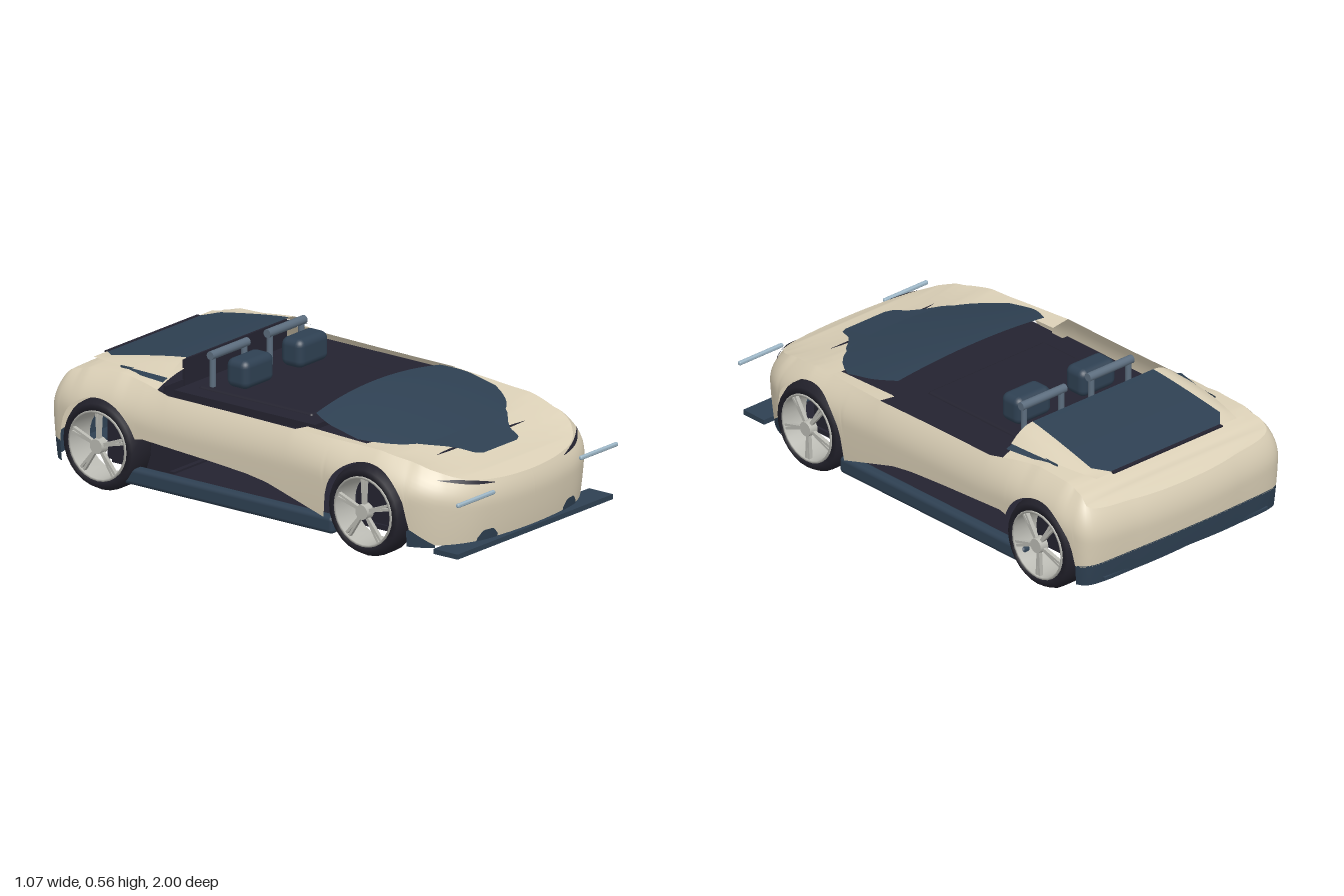
import * as THREE from 'three';
import { RoundedBoxGeometry } from 'three/addons/geometries/RoundedBoxGeometry.js';

const colour = (name, hex, side = THREE.FrontSide) => {
  const m = new THREE.MeshStandardMaterial({ color: hex, side });
  m.name = name;
  return m;
};
const paint = colour('cream paint', 0xdacfb6, THREE.DoubleSide);
const navy = colour('navy trim', 0x2e4052, THREE.DoubleSide);
const dark = colour('dark interior', 0x242330, THREE.DoubleSide);
const tyreMat = colour('tyre rubber', 0x22212b);
const rimMat = colour('rim grey', 0xb9b9b2);
const barMat = colour('roll bar steel', 0x5c6d7e);
const lampMat = colour('lamp strip', 0x9db6c6);

// Linear lookup in a list of [z, value], z descending
function table(list, z) {
  if (z >= list[0][0]) return list[0][1];
  for (let i = 1; i < list.length; i++) {
    const [z0, a] = list[i - 1], [z1, b] = list[i];
    if (z >= z1) return a + (b - a) * (z - z0) / (z1 - z0);
  }
  return list[list.length - 1][1];
}

const SHOULDER = [[.985, .3], [.94, .325], [.88, .355], [.8, .38], [.6, .412], [.4, .418], [.2, .425], [-.4, .43],
  [-.52, .45], [-.65, .464], [-.8, .458], [-.9, .435], [-.96, .4], [-1, .37]];
const CROWN = [[.985, .3], [.93, .33], [.81, .352], [.65, .385], [.4, .41], [.2, .42], [-.45, .495],
  [-.85, .458], [-.93, .43], [-.97, .4], [-1, .37]];
const TOP_INSET = [[.985, .02], [.9, .05], [.75, .085], [.5, .075], [.2, .045], [-.4, .045], [-.6, .08], [-.85, .08], [-1, .03]];
const SKIRT = [[.86, .08], [.77, .14], [.7, .1], [.4, .11], [.3, .14], [.1, .2], [0, .215], [-.2, .23], [-.5, .25],
  [-.7, .2], [-.88, .155], [-.97, .165], [-1, .18]];
const AXLES = [.57, -.71];
const shoulder = z => table(SHOULDER, z);
const skirt = z => table(SKIRT, z);

// Lower edge of the painted side, with round wheel arches
function lowerEdge(z) {
  let y = skirt(z);
  for (const a of AXLES) {
    const d = .188 ** 2 - (z - a) ** 2;
    if (d > 0) y = Math.max(y, .18 + Math.sqrt(d));
  }
  return y;
}

// Plan outline of the body as one closed loop from the nose
const half = [[.2, .972], [.33, .942], [.43, .88], [.49, .8], [.525, .68], [.532, .5], [.528, .2], [.525, -.1],
  [.528, -.4], [.532, -.7], [.528, -.87], [.49, -.952], [.25, -.99]];
const N = 480;
const loop = new THREE.CatmullRomCurve3([[0, .985], ...half, [0, -1], ...half.map(([x, z]) => [-x, z]).reverse()]
  .map(([x, z]) => new THREE.Vector3(x, 0, z)), true).getSpacedPoints(N).slice(0, N);

// Point on the body side at outline index i and height y
function sidePoint(i, y, out = 0) {
  const p = loop[i], a = loop[(i + N - 1) % N], b = loop[(i + 1) % N];
  const dx = b.x - a.x, dz = b.z - a.z, l = Math.hypot(dx, dz);
  const t = (y - .07) / (shoulder(p.z) - .07);
  const inset = .02 * (1 - t) ** 2 + table(TOP_INSET, p.z) * Math.max(0, (t - .6) / .4) ** 2 - out;
  return [p.x + dz / l * inset, y, p.z - dx / l * inset];
}

// Surface through rows of points
function patch(rows) {
  const n = rows[0].length, idx = [];
  for (let r = 0; r < rows.length - 1; r++) for (let c = 0; c < n - 1; c++) {
    const a = r * n + c, b = a + n;
    idx.push(a, b, a + 1, b, b + 1, a + 1);
  }
  const g = new THREE.BufferGeometry();
  g.setAttribute('position', new THREE.Float32BufferAttribute(rows.flat(2), 3));
  g.setIndex(idx);
  g.computeVertexNormals();
  return g;
}
const span = (n, f) => Array.from({ length: n + 1 }, (_, i) => f(i / n));

export function createModel() {
  const car = new THREE.Group();
  car.name = 'car';
  const add = (name, geo, mat, x = 0, y = 0, z = 0, parent = car) => {
    const m = new THREE.Mesh(geo, mat);
    m.name = name;
    m.position.set(x, y, z);
    parent.add(m);
    return m;
  };
  const box = (name, mat, w, h, d, x, y, z, r = 0) =>
    add(name, r ? new RoundedBoxGeometry(w, h, d, 3, r) : new THREE.BoxGeometry(w, h, d), mat, x, y, z);

  // Band around the body wherever keep(p) holds
  const band = (name, mat, keep, lo, hi, out = 0) => {
    let rows = [];
    const flush = () => { if (rows.length > 1) add(name, patch(rows), mat); rows = []; };
    for (let i = 0; i <= N; i++) {
      const p = loop[i % N];
      if (!keep(p)) { flush(); continue; }
      rows.push(span(14, t => sidePoint(i % N, lo(p) + (hi(p) - lo(p)) * t, out)));
    }
    flush();
  };
  band('bodySide', paint, () => true, p => lowerEdge(p.z), p => shoulder(p.z));
  band('frontCornerTrim', navy, p => p.z > .755 && p.z < .86, () => .07, p => skirt(p.z));
  band('rearDiffuser', navy, p => p.z < -.9, p => .08 + .02 * (1 - Math.abs(p.x) / .5), p => skirt(p.z) + .004);
  box('rearDiffuserReturn', navy, .84, .01, .08, 0, .1, -.93);
  const intake = p => Math.abs(Math.abs(p.x) - .25);
  band('frontIntake', navy, p => p.z > .8 && intake(p) < .06, () => .075,
    p => .08 + Math.min(.04, 1.1 * (.062 - intake(p))), .004);
  const slit = p => (Math.abs(p.x) - .2) / .25;
  const slitEdge = s => p => .295 + .04 * slit(p) + s * .007 * Math.sin(Math.PI * slit(p));
  band('headlightSlit', dark, p => p.z > .8 && slit(p) > 0 && slit(p) < 1, slitEdge(-1), slitEdge(1), .005);

  // Bonnet and tail skins close the top between the shoulders
  const skin = (name, keep) => {
    const rows = [];
    for (let i = 0; i <= N / 2; i++) {
      const e = sidePoint(i, shoulder(loop[i].z));
      const c = table(CROWN, loop[i].z);
      if (keep(e[2])) rows.push(span(24, t => {
        const k = 2 * t - 1;
        return [Math.abs(e[0]) * k, c + (e[1] - c) * k ** 4, e[2]];
      }));
    }
    add(name, patch(rows), paint);
  };
  skin('bonnet', z => z > .5);
  skin('tailDeck', z => z < -.46);

  // Fender tops beside the windscreen
  for (const s of [-1, 1]) {
    const rows = [];
    for (let i = 0; i <= N / 2; i++) {
      const e = sidePoint(i, shoulder(loop[i].z));
      if (e[2] > .2 && e[2] < .52) rows.push(span(3, t => [s * (.405 + (e[0] - .405) * t), e[1] - .01 * (1 - t), e[2]]));
    }
    add('fenderTop', patch(rows), paint);
  }

  // Windscreen slab and the dark bonnet panel ahead of it
  add('windscreen', patch(span(28, u => {
    const k = 2 * u - 1, zr = .21 + .015 * k * k, zf = .66 - .2 * k ** 4;
    return span(12, t => {
      const z = zr + (zf - zr) * t, x = k * (.375 + .042 * Math.sin(Math.PI / 2 * Math.min(1, t * 1.8)));
      return [x, .495 - .095 * ((z - .21) / .45) ** 1.2 - .03 * k * k, z];
    });
  })), navy);
  const panelWidth = [[.815, .1], [.8, .13], [.74, .155], [.7, .19], [.65, .25], [.6, .29]];
  add('bonnetPanel', patch(span(16, t => {
    const z = .6 + .215 * t, c = table(CROWN, z), w = table(panelWidth, z);
    return span(12, u => {
      const x = (2 * u - 1) * w;
      return [x, c + .006 + (shoulder(z) - c) * (x / .42) ** 4, z];
    });
  })), navy);

  // Rear cover with buttresses either side
  const coverY = t => .53 - .068 * t ** 1.2;
  const coverX = t => .31 + .025 * t - .06 * Math.max(0, (t - .85) / .15);
  add('rearCover', patch(span(20, t => span(8, u => [(2 * u - 1) * coverX(t), coverY(t), -.45 - .41 * t]))), navy);
  for (const s of [-1, 1]) {
    add('buttress', patch(span(20, t => span(4, u => [
      s * (coverX(t) + (.42 - .06 * t * t - coverX(t)) * u), coverY(t) - .055 * (1 - t) * u * u, -.45 - .41 * t]))), paint);
    add('quarterPanel', patch(span(6, t => span(1, u => [
      s * (.405 + .045 * u * (1 - t)), .48 - .015 * u - .005 * t, -.455 - .24 * t]))), navy);
  }
  box('rearBulkhead', dark, .62, .13, .01, 0, .455, -.465);
  box('rearBulkheadLower', dark, .84, .09, .01, 0, .395, -.47);
  box('coverGap', dark, .56, .006, .016, 0, .461, -.862);

  // Cockpit, with a lower channel along one door
  box('cockpitPanel', dark, .845, .03, .68, .0475, .4, -.12);
  box('doorChannel', dark, .12, .03, .68, -.43, .33, -.12);
  box('cowl', dark, .82, .02, .32, 0, .385, .38);
  box('cockpitInset', dark, .6, .03, .55, 0, .408, -.13, .012);
  for (const s of [-1, 1]) {
    box('headrest', navy, .18, .115, .105, s * .165, .485, -.26, .03);
    const bar = add('rollBar', new THREE.CylinderGeometry(.017, .017, .225, 12), barMat, s * .172, .548, -.358);
    bar.rotation.z = Math.PI / 2;
    for (const x of [.077, .268]) add('rollBarPost', new THREE.CylinderGeometry(.012, .012, .14, 10), barMat, s * x, .478, -.358);
    box('lampStrip', lampMat, .225, .016, .016, s * .372, .278, .992, .006);
    box('sill', navy, .05, .07, 1.02, s * .485, .085, -.1, .018);
  }

  // Underside
  box('frontSplitter', navy, .94, .02, .115, 0, .07, .925);
  box('floor', dark, .9, .02, .92, 0, .06, -.07);
  box('floorFront', dark, .72, .02, .5, 0, .068, .62);
  box('floorRear', dark, .7, .02, .3, 0, .068, -.63);
  box('floorRidge', dark, .6, .015, .8, 0, .052, -.14);
  box('frontWell', dark, .7, .295, .32, 0, .222, .56);
  box('rearWell', dark, .7, .32, .3, 0, .23, -.65);

  // Wheels: tyre, rim ring, hub and five twin spokes
  const v = (r, y) => new THREE.Vector2(r, y);
  const tyre = new THREE.LatheGeometry([v(.135, -.058), v(.165, -.058), v(.18, -.035), v(.18, .03), v(.165, .058),
    v(.137, .058), v(.135, -.058)], 28);
  const rim = new THREE.LatheGeometry([v(.124, -.05), v(.136, -.05), v(.139, .062), v(.13, .062), v(.124, -.05)], 28);
  for (const z of AXLES) for (const s of [-1, 1]) {
    const wheel = new THREE.Group();
    wheel.name = 'wheel';
    wheel.position.set(s * .465, .18, z);
    wheel.rotation.z = -s * Math.PI / 2;
    car.add(wheel);
    add('tyre', tyre, tyreMat, 0, 0, 0, wheel);
    add('rim', rim, rimMat, 0, 0, 0, wheel);
    add('hub', new THREE.CylinderGeometry(.029, .033, .035, 16), rimMat, 0, .052, 0, wheel);
    for (let k = 0; k < 5; k++) for (const d of [-1, 1]) {
      const pivot = new THREE.Group();
      pivot.name = 'spokePivot';
      pivot.rotation.y = k * Math.PI * .4 + d * .06;
      wheel.add(pivot);
      add('spoke', new THREE.BoxGeometry(.115, .016, .01), rimMat, .075, .05, 0, pivot);
    }
  }
  return car;
}
